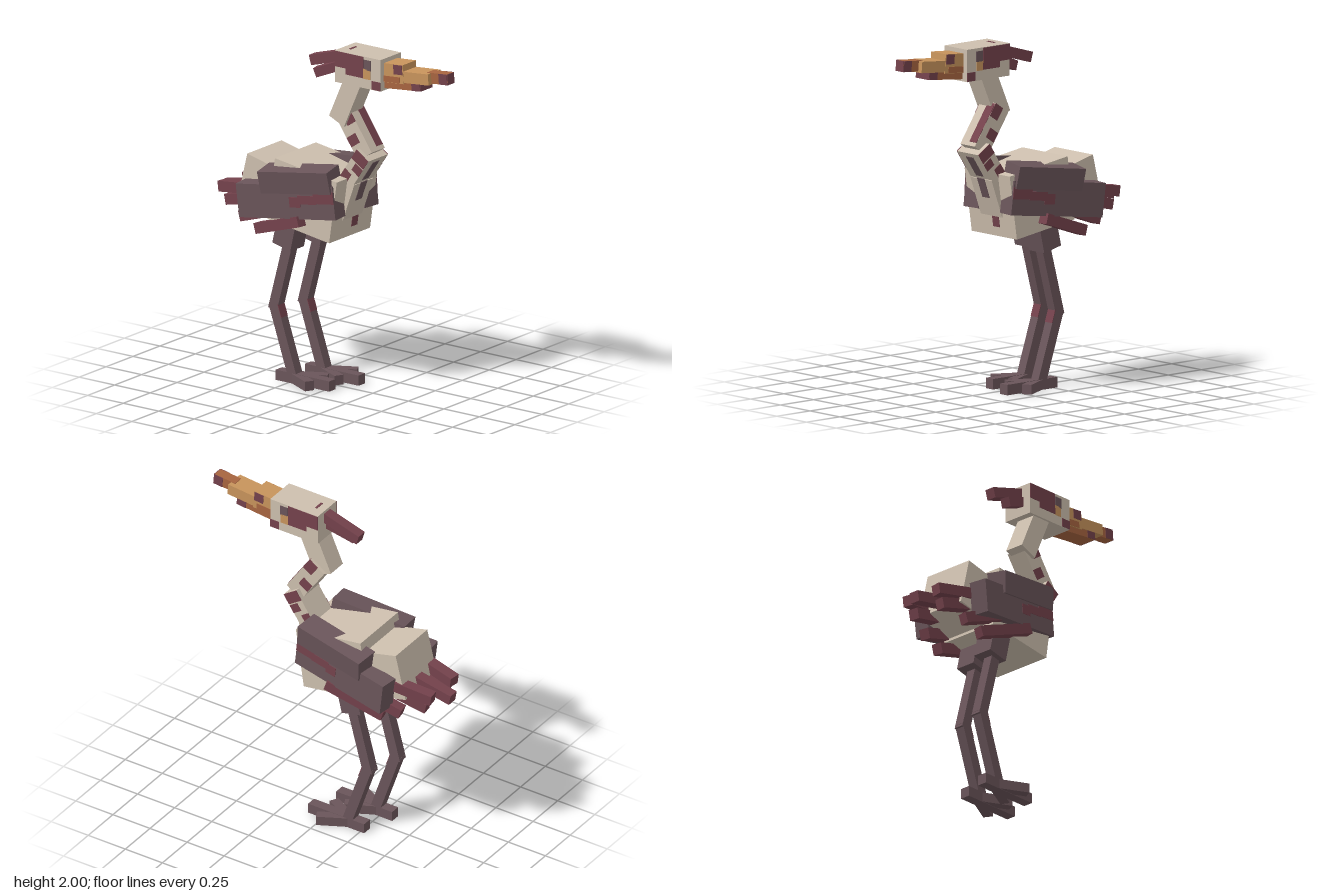
import * as THREE from 'three';

const flat = (name, color) => {
  const m = new THREE.MeshStandardMaterial({ color });
  m.name = name;
  return m;
};

export function createModel() {
  const cream = flat('cream', 0xcdbfae);
  const dusk = flat('dusk brown', 0x6a555a);
  const maroon = flat('maroon', 0x74424c);
  const orange = flat('orange', 0xc8945c);
  const rust = flat('rust', 0xa86540);

  const bird = new THREE.Group();
  bird.name = 'longLeggedBird';

  // A box of size [x, y, z] at a position, turned by Euler angles
  const box = (name, size, pos, mat, rot = [0, 0, 0], parent = bird) => {
    const m = new THREE.Mesh(new THREE.BoxGeometry(...size), mat);
    m.name = name;
    m.position.set(...pos);
    m.rotation.set(rot[0], rot[1], rot[2], 'YXZ');
    parent.add(m);
    return m;
  };

  // A box running between two points; its local z is the long axis
  const bar = (name, from, to, w, h, mat) => {
    const a = new THREE.Vector3(...from), b = new THREE.Vector3(...to);
    const mid = a.clone().add(b).multiplyScalar(0.5);
    const m = box(name, [w, h, a.distanceTo(b)], mid.toArray(), mat);
    m.lookAt(b);
    return m;
  };

  // Thin painted plates on the two x sides of a box: [y, z, height, depth]
  const sidePaint = (part, name, mat, spots) => {
    const half = part.geometry.parameters.width / 2;
    for (const [y, z, h, d] of spots)
      for (const s of [-1, 1]) box(name, [0.004, h, d], [s * (half + 0.001), y, z], mat, undefined, part);
  };

  // Body
  const body = box('body', [0.38, 0.37, 0.44], [0, 1.11, -0.105], cream, [0.145, 0, 0]);
  box('breastMark', [0.055, 0.1, 0.004], [0.03, -0.08, 0.221], maroon, undefined, body);
  box('rump', [0.32, 0.28, 0.3], [0, 1.133, -0.401], cream, [0.24, 0, 0]);

  // Neck, from the breast up to the head
  const neckBase = bar('neckBase', [0, 1.03, 0.05], [0, 1.25, 0.13], 0.18, 0.12, cream);
  box('throatMark', [0.06, 0.004, 0.12], [0, -0.061, 0.06], dusk, undefined, neckBase);
  const lowNeck = bar('lowerNeck', [0, 1.22, 0.115], [0, 1.415, 0.245], 0.18, 0.1, cream);
  sidePaint(lowNeck, 'neckSpot', maroon, [[0, 0.085, 0.1, 0.065], [-0.02, 0.02, 0.06, 0.05], [0.022, -0.06, 0.055, 0.06]]);
  box('neckFrontMark', [0.06, 0.004, 0.14], [0, -0.051, 0.02], dusk, undefined, lowNeck);
  const midNeck = bar('middleNeck', [0, 1.63, 0.083], [0, 1.4, 0.24], 0.122, 0.115, cream);
  sidePaint(midNeck, 'neckSpot', maroon, [[0.025, -0.1, 0.065, 0.08], [-0.02, 0.025, 0.07, 0.06]]);
  box('neckStripe', [0.058, 0.004, 0.25], [0.031, 0.058, -0.01], maroon, undefined, midNeck);
  bar('upperNeck', [-0.02, 1.58, 0.055], [-0.02, 1.85, 0.175], 0.122, 0.115, cream);

  // Head with face markings
  const head = box('head', [0.19, 0.185, 0.32], [0, 1.9075, 0.215], cream);
  sidePaint(head, 'cheekMark', maroon, [
    [0.045, -0.06, 0.09, 0.2], [-0.015, -0.02, 0.04, 0.13], [-0.065, 0.13, 0.05, 0.06],
  ]);
  sidePaint(head, 'browMark', dusk, [[0.045, 0.067, 0.06, 0.05]]);
  sidePaint(head, 'eye', orange, [[-0.008, 0.065, 0.058, 0.05]]);
  box('crownMark', [0.06, 0.004, 0.014], [0, 0.093, -0.105], maroon, undefined, head);

  // Beak
  const beakBase = box('beakBase', [0.124, 0.11, 0.15], [0, 1.925, 0.435], orange, [-0.08, 0, 0]);
  sidePaint(beakBase, 'beakSpot', maroon, [[0.025, 0.04, 0.055, 0.06]]);
  sidePaint(beakBase, 'beakShade', rust, [[-0.035, -0.01, 0.035, 0.12]]);
  box('beakMiddle', [0.12, 0.065, 0.2], [0, 1.923, 0.585], orange, [-0.09, 0, 0]);
  const tip = box('beakTip', [0.062, 0.062, 0.14], [0, 1.94, 0.727], rust, [-0.09, 0, 0]);
  sidePaint(tip, 'beakTipMark', maroon, [[0, 0.04, 0.062, 0.058]]);
  box('beakTipEnd', [0.062, 0.062, 0.004], [0, 0, 0.071], maroon, undefined, tip);
  const jaw = box('lowerBeak', [0.11, 0.045, 0.26], [0, 1.862, 0.495], rust, [-0.1, 0, 0]);
  sidePaint(jaw, 'lowerBeakMark', maroon, [[0, 0.1, 0.045, 0.06]]);
  box('lowerBeakEnd', [0.11, 0.045, 0.004], [0, 0, 0.131], maroon, undefined, jaw);

  // Crest feathers behind the head
  bar('crestFeather', [0, 1.965, 0.1], [0, 1.885, -0.17], 0.062, 0.06, maroon);
  bar('crestFeather', [-0.01, 1.91, 0.08], [-0.055, 1.835, -0.105], 0.055, 0.055, maroon);

  for (const s of [-1, 1]) {
    // Wings: an upper shoulder block over a longer lower panel
    const yaw = -s * 0.12;
    box('shoulder', [0.14, 0.13, 0.455], [s * 0.183, 1.233, -0.127], dusk, [-0.13, yaw, -s * 0.12]);
    const wing = box('wing', [0.11, 0.195, 0.63], [s * 0.185, 1.1, -0.19], dusk, [-0.12, yaw, 0]);
    for (const [y, z, h, d] of [[0.03, 0.25, 0.07, 0.13], [0.015, 0.14, 0.05, 0.12], [0, 0.06, 0.06, 0.07]])
      box('wingMark', [0.004, h, d], [s * 0.056, y, z], maroon, undefined, wing);

    // Wing feathers sweeping back and inward
    bar('wingFeather', [s * 0.215, 1.0, -0.09], [s * 0.16, 0.885, -0.435], 0.062, 0.062, maroon);
    bar('wingFeather', [s * 0.2, 1.04, -0.24], [s * 0.15, 0.935, -0.55], 0.062, 0.062, maroon);

    // Outer tail feathers, in two layers
    bar('tailFeather', [s * 0.15, 1.11, -0.45], [s * 0.108, 1.068, -0.73], 0.066, 0.062, maroon);
    bar('tailFeather', [s * 0.13, 1.06, -0.42], [s * 0.1, 0.995, -0.69], 0.062, 0.062, maroon);

    // Legs: the left one stands a little further forward
    const x = s * 0.095, dz = s > 0 ? 0 : -0.063;
    bar('thigh', [x, 0.8, -0.212 + dz], [x, 0.96, -0.175 + dz], 0.127, 0.13, dusk);
    bar('upperLeg', [x, 0.41, -0.3 + dz], [x, 0.86, -0.18 + dz], 0.06, 0.062, dusk);
    const shin = bar('lowerLeg', [x, 0.03, -0.157 + dz], [x, 0.445, -0.297 + dz], 0.06, 0.062, dusk);
    // The shin's long axis leans back, so its local up side faces forward
    const up = new THREE.Vector3(0, 1, 0).applyQuaternion(shin.quaternion);
    box('kneeMark', [0.06, 0.004, 0.08], [0, Math.sign(up.z) * 0.032, 0.17], maroon, undefined, shin);

    // Foot: three front toes and a short hind toe
    const ankle = [x, 0.03, -0.165 + dz];
    bar('middleToe', ankle, [x, 0.03, 0.1 + dz], 0.06, 0.06, dusk);
    for (const t of [-1, 1])
      bar('sideToe', ankle, [x + t * 0.088, 0.03, 0.005 + dz], 0.055, 0.056, dusk);
    bar('hindToe', [x, 0.03, -0.14 + dz], [x, 0.03, -0.277 + dz], 0.06, 0.06, dusk);
  }

  // Middle tail feather
  bar('middleTailFeather', [0, 1.1, -0.45], [0, 1.035, -0.792], 0.064, 0.062, maroon);

  return bird;
}
